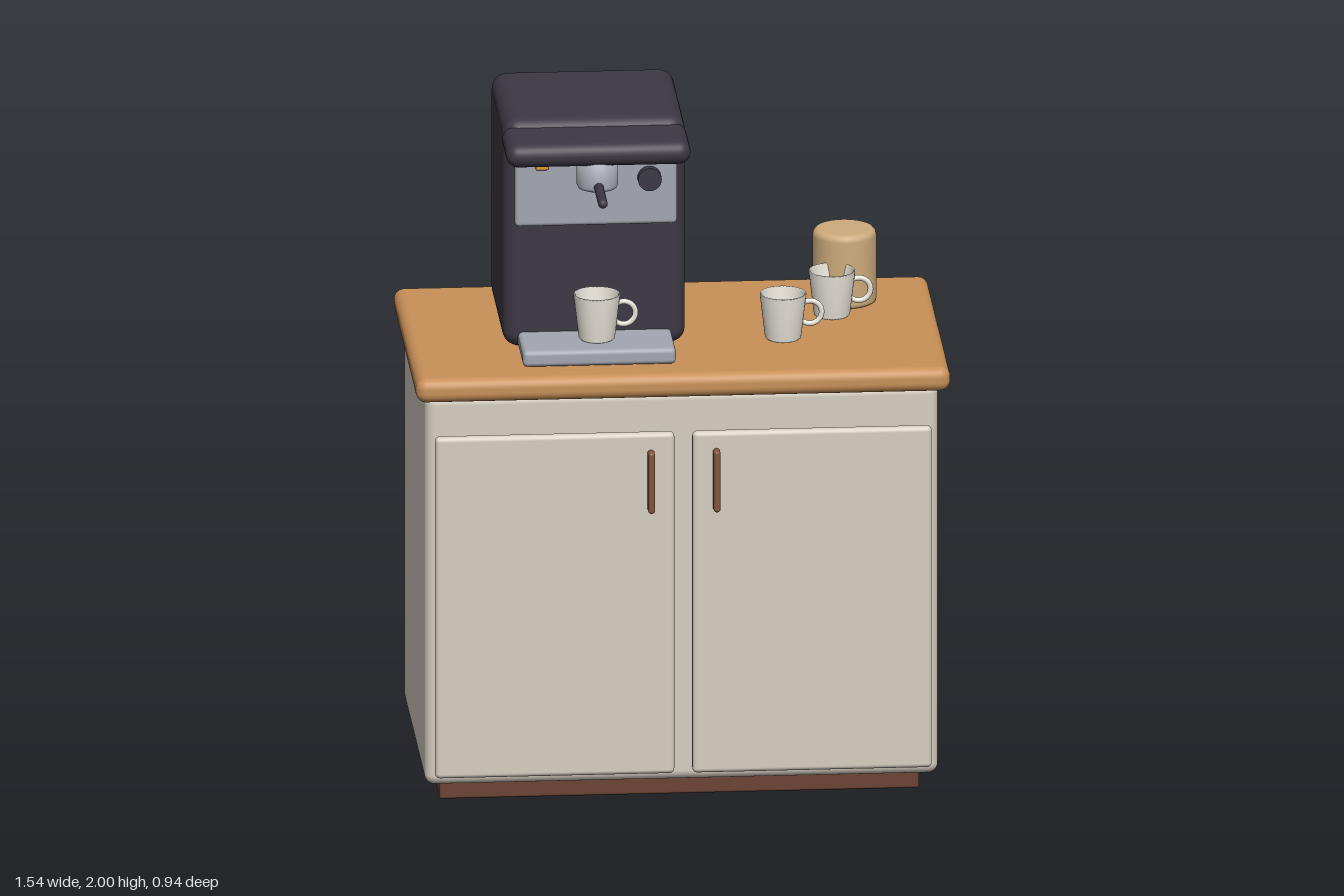
import * as THREE from 'three';
import { RoundedBoxGeometry } from 'three/addons/geometries/RoundedBoxGeometry.js';

const paint = (color, side = THREE.FrontSide) => {
  const m = new THREE.MeshStandardMaterial({ side });
  m.color.set(color);
  return m;
};

const WOOD = paint(0xc89058), CREAM = paint(0xd6cec1), BROWN = paint(0x6b4434), HANDLE = paint(0x84553a);
const DARK = paint(0x3c3843), STEEL = paint(0xa4a7b2), AMBER = paint(0xd99a2b), TAN = paint(0xcdac7c);
const CHINA = paint(0xeae5da, THREE.DoubleSide);

export function createModel() {
  const model = new THREE.Group();

  const add = (name, geometry, material, parent = model) => {
    const mesh = new THREE.Mesh(geometry, material);
    mesh.name = name;
    parent.add(mesh);
    return mesh;
  };

  // Rounded box given by its extents on each axis
  const box = (name, [x0, x1], [y0, y1], [z0, z1], radius, material) => {
    const mesh = add(name, new RoundedBoxGeometry(x1 - x0, y1 - y0, z1 - z0, 4, radius), material);
    mesh.position.set((x0 + x1) / 2, (y0 + y1) / 2, (z0 + z1) / 2);
    return mesh;
  };

  const lathe = (pairs) => new THREE.LatheGeometry(pairs.map(([r, y]) => new THREE.Vector2(r, y)), 40);

  // Cabinet
  box('plinth', [-0.69, 0.69], [0, 0.12], [-0.455, 0.255], 0.008, BROWN);
  box('cabinet', [-0.738, 0.738], [0.07, 1.245], [-0.455, 0.35], 0.03, CREAM);
  box('countertop', [-0.768, 0.768], [1.243, 1.315], [-0.47, 0.425], 0.03, WOOD);
  for (const [side, s] of [['left', 1], ['right', -1]]) {
    const span = (a, b) => [a * s, b * s].sort((p, q) => p - q);
    box(side + 'Door', span(0.026, 0.714), [0.113, 1.14], [0.389, 0.421], 0.014, CREAM);
    box(side + 'DoorHandle', span(0.084, 0.104), [0.907, 1.092], [0.415, 0.455], 0.009, HANDLE);
  }

  // Coffee machine
  const cx = -0.235;
  box('machineBody', [-0.497, 0.027], [1.315, 2], [-0.35, 0.146], 0.045, DARK);
  box('machineHood', [-0.5, 0.03], [1.908, 1.978], [0.1, 0.317], 0.034, DARK);
  box('controlPanel', [-0.466, 0], [1.69, 1.93], [0.13, 0.172], 0.012, STEEL);
  box('dripTray', [-0.455, -0.015], [1.318, 1.366], [0.08, 0.333], 0.014, STEEL);
  box('indicatorLight', [-0.407, -0.37], [1.863, 1.9], [0.16, 0.185], 0.005, AMBER);

  const knob = add('knob', new THREE.CylinderGeometry(0.034, 0.034, 0.035, 32), DARK);
  knob.rotation.x = Math.PI / 2;
  knob.position.set(-0.08, 1.832, 0.18);

  const head = add('brewHead', lathe([[0, 0], [0.045, 0], [0.055, 0.004], [0.06, 0.014], [0.06, 0.09], [0, 0.09]]), STEEL);
  head.position.set(cx, 1.828, 0.247);

  const grip = add('filterHandle', new THREE.CapsuleGeometry(0.014, 0.17, 6, 16), DARK);
  grip.rotation.x = Math.PI / 2;
  grip.position.set(cx, 1.847, 0.371);

  // Cups: hollow turned body with a ring handle
  const cupShape = lathe([[0, 0], [0.046, 0], [0.052, 0.006], [0.067, 0.134], [0.065, 0.137],
    [0.062, 0.134], [0.049, 0.018], [0.044, 0.013], [0, 0.013]]);
  const ringShape = new THREE.TorusGeometry(0.034, 0.008, 12, 32);
  [['trayCup', cx, 1.367, 0.227], ['frontCup', 0.31, 1.315, 0.1], ['backCup', 0.466, 1.315, -0.104]]
    .forEach(([name, x, y, z]) => {
      const cup = new THREE.Group();
      cup.name = name;
      cup.position.set(x, y, z);
      add('cupBody', cupShape, CHINA, cup);
      add('cupHandle', ringShape, CHINA, cup).position.set(0.077, 0.077, 0);
      model.add(cup);
    });

  // Canister with softened rims
  const canister = add('canister', lathe([[0, 0], [0.084, 0], [0.09, 0.004], [0.092, 0.012], [0.092, 0.2],
    [0.089, 0.211], [0.082, 0.218], [0.074, 0.22], [0, 0.22]]), TAN);
  canister.position.set(0.512, 1.315, -0.24);

  return model;
}
